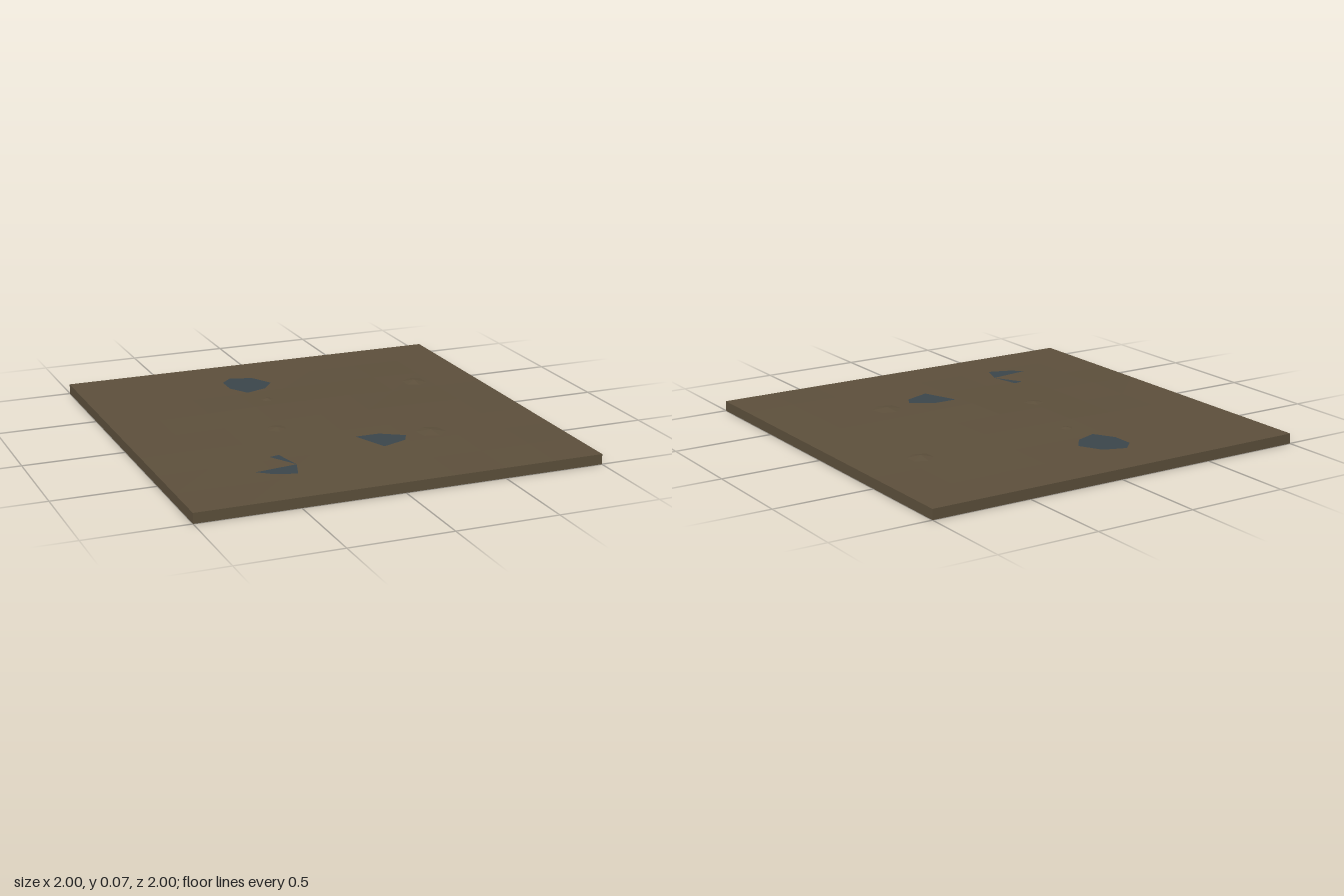
import * as THREE from 'three';

// Inner ground heights in thousandths, rows run from back to front, 0.25 apart
const HEIGHTS = [
  [50, 51, 51, 51, 51, 51, 50],
  [51, 52, 53, 53, 54, 56, 51],
  [52, 55, 60, 61, 63, 54, 52],
  [52, 56, 60, 64, 58, 57, 53],
  [56, 55, 58, 60, 59, 55, 53],
  [52, 53, 54, 56, 54, 54, 52],
  [50, 52, 52, 52, 52, 51, 53],
];
const EDGE = 0.05;

export function createModel() {
  const group = new THREE.Group();
  const earth = new THREE.MeshStandardMaterial({ color: 0x5c4f3b, flatShading: true, side: THREE.DoubleSide });
  earth.name = 'earth brown';
  const water = new THREE.MeshStandardMaterial({ color: 0x3a454a, flatShading: true, side: THREE.DoubleSide });
  water.name = 'puddle blue';

  function add(name, geometry, material) {
    const mesh = new THREE.Mesh(geometry, material);
    mesh.name = name;
    group.add(mesh);
    return mesh;
  }

  // Gently uneven ground sheet
  const ground = new THREE.PlaneGeometry(2, 2, 8, 8).rotateX(-Math.PI / 2);
  const pos = ground.attributes.position;
  for (let i = 0; i < pos.count; i++) {
    const col = (i % 9) - 1, row = Math.floor(i / 9) - 1;
    pos.setY(i, (HEIGHTS[row]?.[col] ?? EDGE * 1000) / 1000);
  }
  ground.computeVertexNormals();
  add('ground', ground, earth);

  // Four side walls, open underneath
  for (let i = 0; i < 4; i++) {
    const wall = new THREE.PlaneGeometry(2, EDGE).translate(0, EDGE / 2, 1).rotateY(i * Math.PI / 2);
    add('sideWall', wall, earth);
  }

  // Puddles: flat polygons given as x, z corners
  function puddle(name, y, corners) {
    const shape = new THREE.Shape(corners.map(([x, z]) => new THREE.Vector2(x, -z)));
    add(name, new THREE.ShapeGeometry(shape).rotateX(-Math.PI / 2).translate(0, y, 0), water);
  }
  puddle('backPuddle', 0.0545, [[-0.26, -0.71], [-0.26, -0.6], [-0.2, -0.5], [-0.09, -0.54],
    [-0.03, -0.62], [-0.09, -0.73], [-0.2, -0.77]]);
  puddle('frontPuddle', 0.059, [[0.03, 0.36], [0.1, 0.54], [0.23, 0.49], [0.26, 0.43], [0.15, 0.36]]);
  puddle('splitPuddleBack', 0.0565, [[-0.45, 0.47], [-0.37, 0.61], [-0.4, 0.46]]);
  puddle('splitPuddleFront', 0.0565, [[-0.58, 0.64], [-0.52, 0.69], [-0.41, 0.73], [-0.37, 0.61]]);

  // Puddles sunk beneath the ground, seen from below
  for (const [x, y, z, r] of [[0.36, 0.053, -0.12, 0.1], [0.58, 0.051, 0.5, 0.07]]) {
    add('sunkenPuddle', new THREE.CircleGeometry(r, 7).rotateX(-Math.PI / 2).translate(x, y, z), water);
  }

  // Half-buried flat stones: x, z, radius, top height, turn
  const stones = [
    [-0.15, -0.35, 0.06, 0.064, 0.4],
    [0.67, -0.36, 0.07, 0.064, 1.1],
    [-0.27, 0.1, 0.09, 0.066, 2.0],
    [0.4, 0.41, 0.09, 0.065, 0.2],
  ];
  for (const [x, z, r, top, turn] of stones) {
    const stone = add('stone', new THREE.ConeGeometry(r, 0.013, 6), earth);
    stone.position.set(x, top - 0.0065, z);
    stone.rotation.y = turn;
  }
  return group;
}
